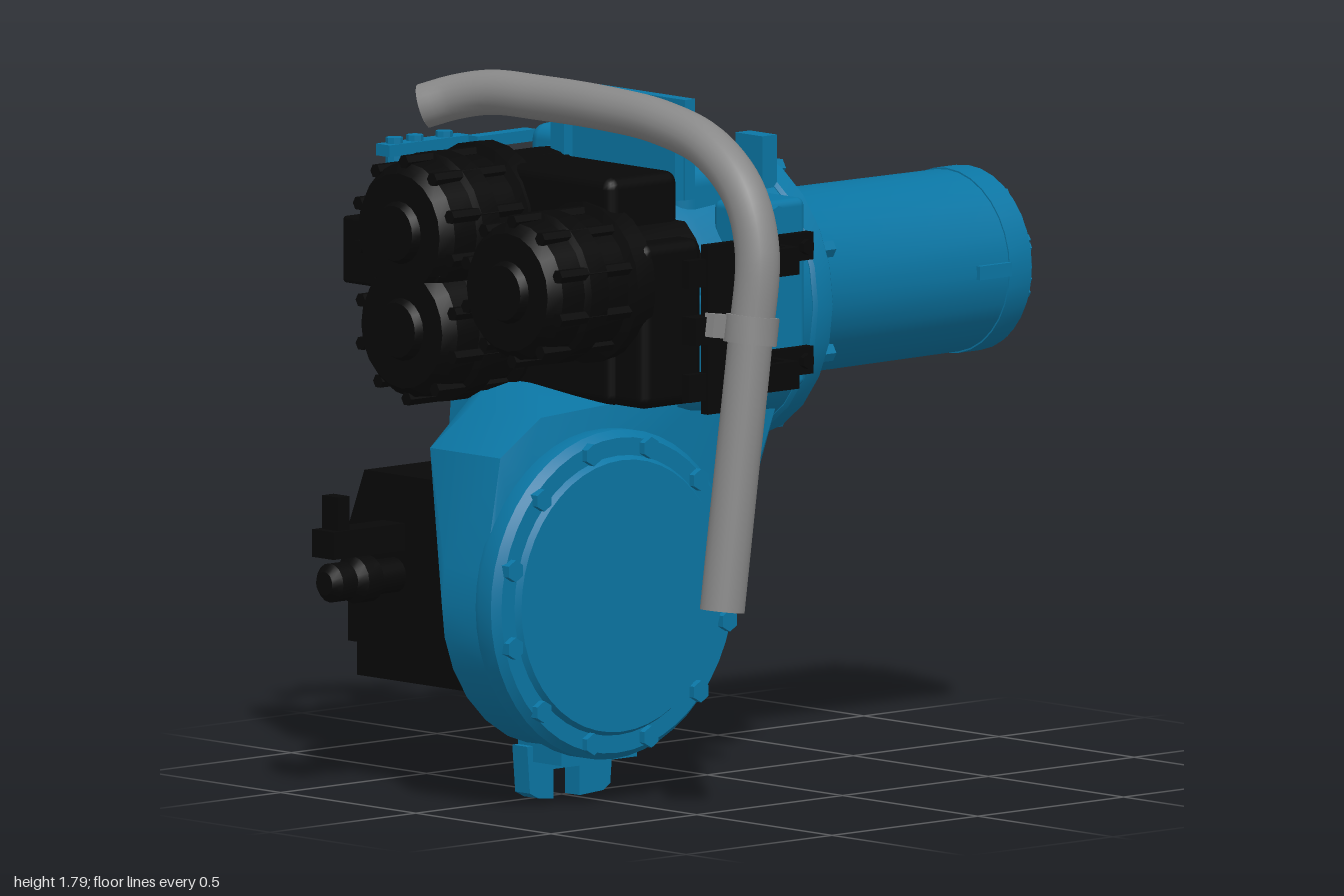
import * as THREE from 'three';
import { toCreasedNormals } from 'three/addons/utils/BufferGeometryUtils.js';
import { ConvexGeometry } from 'three/addons/geometries/ConvexGeometry.js';
import { RoundedBoxGeometry } from 'three/addons/geometries/RoundedBoxGeometry.js';

const blue = new THREE.MeshStandardMaterial({ color: 0x0b76a4 });
const black = new THREE.MeshStandardMaterial({ color: 0x080808 });
const grey = new THREE.MeshStandardMaterial({ color: 0x888888, side: THREE.DoubleSide });
const V = (x, y, z) => new THREE.Vector3(x, y, z);

export function createModel() {
  const model = new THREE.Group();
  const add = (name, geo, mat, parent = model) => {
    const mesh = new THREE.Mesh(geo, mat);
    mesh.name = name;
    parent.add(mesh);
    return mesh;
  };
  const group = (name) => {
    const g = new THREE.Group();
    g.name = name;
    model.add(g);
    return g;
  };
  // Box given by its min and max on each axis
  const box = (name, mat, [x0, x1], [y0, y1], [z0, z1], parent, round = 0) => {
    const s = [x1 - x0, y1 - y0, z1 - z0];
    const geo = round ? new RoundedBoxGeometry(...s, 2, round) : new THREE.BoxGeometry(...s);
    return add(name, geo.translate((x0 + x1) / 2, (y0 + y1) / 2, (z0 + z1) / 2), mat, parent);
  };
  // Solid of revolution: profile of [radius, position along axis], creased
  const turned = (name, mat, axis, profile, [x, y, z], parent, sides = 40) => {
    const pts = profile.map(([r, t]) => new THREE.Vector2(r, t));
    const geo = toCreasedNormals(new THREE.LatheGeometry(pts, sides), 0.6);
    if (axis === 'x') geo.rotateZ(-Math.PI / 2);
    if (axis === 'z') geo.rotateX(Math.PI / 2);
    return add(name, geo.translate(x, y, z), mat, parent);
  };
  const rod = (name, mat, axis, r, a, b, c, parent, sides = 24) =>
    turned(name, mat, axis, [[0, a], [r, a], [r, b], [0, b]], c, parent, sides);
  // Ring of hexagonal bolts around an axis
  const bolts = (name, mat, axis, n, ring, r, a, b, [x, y, z], parent) => {
    for (let i = 0; i < n; i++) {
      const t = ((i + 0.5) / n) * Math.PI * 2, u = ring * Math.cos(t), v = ring * Math.sin(t);
      rod(name, mat, axis, r, a, b, axis === 'x' ? [x, y + v, z + u] : [x + u, y + v, z], parent, 6);
    }
  };
  const hull = (name, pts, mat, parent, crease = 0.5) =>
    add(name, toCreasedNormals(new ConvexGeometry(pts), crease), mat, parent);

  // Drive motor, pointing along +x
  const M = [0, 1.215, -0.065];
  const motor = group('driveMotor');
  turned('motorCasing', blue, 'x', [[0, 0.1], [0.27, 0.1], [0.265, 0.155], [0.245, 0.175], [0.235, 0.21],
    [0.231, 0.88], [0.235, 0.88], [0.235, 0.955], [0.2, 0.955], [0.197, 0.99], [0, 0.99]], M, motor, 32);
  bolts('endCapBolt', blue, 'x', 14, 0.178, 0.014, 0.98, 1.0, M, motor);
  bolts('endRingBolt', blue, 'x', 10, 0.217, 0.014, 0.95, 0.965, M, motor);
  box('motorRib', blue, [0.77, 0.88], [1.2, 1.235], [0.14, 0.178], motor);

  // Upper gear housing with its mounting flange
  const upper = group('upperHousing');
  turned('flange', blue, 'x', [[0, 0.08], [0.37, 0.08], [0.378, 0.09], [0.378, 0.14], [0.37, 0.148], [0, 0.148]],
    M, upper, 24);
  bolts('flangeBolt', blue, 'x', 8, 0.345, 0.024, 0.14, 0.185, M, upper);
  turned('housingBarrel', blue, 'x', [[0, -0.27], [0.34, -0.27], [0.35, -0.22], [0.365, 0.0], [0.368, 0.085], [0, 0.085]],
    M, upper, 24);
  box('housingBlock', blue, [-0.25, 0.02], [0.95, 1.58], [-0.42, 0.17], upper, 0.05);
  box('frontBoss', blue, [-0.17, 0.03], [1.02, 1.5], [0.2, 0.335], upper, 0.02);
  box('sideMount', blue, [-0.28, -0.06], [1.0, 1.28], [0.18, 0.3], upper, 0.03);
  box('rearBlock', blue, [-0.2, 0.03], [1.3, 1.63], [-0.455, -0.28], upper, 0.04);
  for (const z of [-0.25, 0.11]) box('topLug', blue, [0.04, 0.09], [1.48, 1.635], [z - 0.05, z + 0.05], upper);
  for (const y of [0.91, 1.46]) rod('frontBolt', blue, 'z', 0.03, 0.15, y < 1 ? 0.24 : 0.35, [-0.08, y, 0], upper, 8);

  // Upright plate above the housing
  box('topPlate', blue, [-0.235, -0.2], [1.5, 1.755], [-0.295, 0.17]);
  for (const z of [-0.27, 0.14]) box('topPlateEar', blue, [-0.265, -0.2], [1.5, 1.68], [z - 0.025, z + 0.025]);

  // Lower gear housing, a hull swept up to the flange
  const pts = [];
  const ring = (x, y, z, r) => {
    for (let i = 0; i < 28; i++) {
      const t = (i / 28) * Math.PI * 2;
      pts.push(V(x + r * Math.cos(t), y + r * Math.sin(t), z));
    }
  };
  ring(-0.52, 0.53, 0.16, 0.4);
  ring(-0.53, 0.53, 0.02, 0.4);
  ring(-0.45, 0.62, -0.09, 0.31);
  ring(-0.36, 0.75, -0.26, 0.26);
  ring(-0.26, 0.88, -0.37, 0.2);
  for (const x of [-0.25, 0.07])
    for (let i = 0; i <= 8; i++) {
      const t = Math.PI * (1.2 + (0.62 * i) / 8);
      pts.push(V(x, 1.215 + 0.36 * Math.sin(t), Math.min(0.18, -0.065 + 0.36 * Math.cos(t))));
    }
  // Bowed right flank: [x, y, back z, front z]
  for (const [x, y, z0, z1] of [[0.05, 0.81, -0.34, 0.1], [0.025, 0.67, -0.24, 0.1], [-0.02, 0.51, -0.13, 0.1],
    [-0.06, 0.42, -0.07, 0.1], [-0.105, 0.345, -0.02, 0.1], [-0.18, 0.25, 0, 0.1]]) pts.push(V(x, y, z0), V(x, y, z1));
  for (const z of [0.14, -0.12]) pts.push(V(-0.84, 0.9, z), V(-0.7, 0.99, z), V(-0.3, 1.0, z));
  const lower = group('lowerHousing');
  hull('housingShell', pts, blue, lower, 0.6);

  // Round front cover
  const C = [-0.515, 0.53, 0];
  turned('cover', blue, 'z', [[0, 0.14], [0.41, 0.14], [0.418, 0.16], [0.418, 0.205], [0.4, 0.225],
    [0.355, 0.225], [0.345, 0.24], [0, 0.24]], C, lower, 48);
  bolts('coverBolt', blue, 'z', 12, 0.38, 0.028, 0.2, 0.243, C, lower);

  // Notched foot
  const foot = new THREE.Shape([[-0.66, 0.14], [-0.65, 0.02], [-0.62, 0.005], [-0.57, 0], [-0.57, 0.075], [-0.48, 0.075],
    [-0.48, 0], [-0.4, 0.005], [-0.375, 0.02], [-0.365, 0.14]].map(([x, y]) => new THREE.Vector2(x, y)));
  add('foot', new THREE.ExtrudeGeometry(foot, { depth: 0.055, bevelEnabled: false }).translate(0, 0, -0.01), blue);
  box('footBoss', blue, [-0.64, -0.38], [0.1, 0.28], [-0.01, 0.15]);

  // Faceted rear bulge below the flange, leaning backwards: [y, z, min x, max x]
  const bulge = [];
  for (const [y, z, x0, x1] of [[0.47, -0.27, -0.3, -0.06], [0.47, -0.52, -0.28, -0.1], [0.75, -0.62, -0.32, 0.02],
    [0.98, -0.62, -0.3, 0.04], [0.99, -0.52, -0.3, 0.07], [0.77, -0.42, -0.32, 0.05], [0.99, -0.3, -0.3, -0.1]])
    bulge.push(V(x0, y, z), V(x1, y, z));
  hull('rearBulge', bulge, blue, model, 0.3);

  // Black control unit behind the lower housing
  const unit = group('controlUnit');
  box('unitBase', black, [-0.72, -0.28], [0.27, 0.38], [-0.52, 0], unit);
  const body = [];
  for (const [y, z] of [[0.36, -0.02], [0.36, -0.52], [0.65, -0.52], [0.8, -0.46], [0.8, -0.02]])
    body.push(V(-0.75, y, z), V(-0.24, y, z));
  hull('unitBody', body, black, unit);
  turned('unitKnob', black, 'z', [[0, -0.63], [0.08, -0.63], [0.125, -0.585], [0.125, -0.5], [0, -0.5]],
    [-0.6, 0.53, 0], unit, 8);
  turned('sideConnector', black, 'x', [[0, -0.99], [0.03, -0.99], [0.05, -0.97], [0.05, -0.92], [0.04, -0.91],
    [0.06, -0.89], [0.06, -0.84], [0.045, -0.83], [0.045, -0.7], [0, -0.7]], [0, 0.545, -0.35], unit, 16);
  box('sideLever', black, [-0.97, -0.93], [0.62, 0.765], [-0.38, -0.32], unit);
  box('leverBase', black, [-0.995, -0.74], [0.61, 0.68], [-0.39, -0.31], unit);

  // Three auxiliary motors on the left end of the upper housing: [y, z]
  const aux = group('auxiliaryMotors');
  for (const [y, z] of [[1.42, -0.31], [1.175, -0.3], [1.31, 0.09]]) {
    const c = [0, y, z];
    turned('auxMotor', black, 'x', [[0, -0.79], [0.07, -0.79], [0.08, -0.77], [0.15, -0.77], [0.175, -0.74],
      [0.18, -0.67], [0.195, -0.66], [0.195, -0.6], [0.18, -0.59], [0.18, -0.52], [0.205, -0.51], [0.205, -0.45],
      [0.17, -0.44], [0.17, -0.25], [0, -0.25]], c, aux, 20);
    bolts('auxMotorRib', black, 'x', 10, 0.178, 0.018, -0.755, -0.44, c, aux);
  }
  box('auxTerminal', black, [-0.67, -0.53], [1.25, 1.42], [-0.63, -0.44], aux, 0.01);
  box('auxCarrier', black, [-0.5, -0.26], [1.0, 1.58], [-0.4, 0.18], aux, 0.03);
  box('auxSupport', black, [-0.48, -0.27], [1.0, 1.42], [0.1, 0.28], aux, 0.03);

  // Valve panel at the back, with a round window
  const panel = new THREE.Shape([[0.49, 1.01], [0.675, 1.01], [0.675, 1.565], [0.49, 1.565]]
    .map(([u, v]) => new THREE.Vector2(u, v)));
  panel.holes.push(new THREE.Path().absarc(0.6, 1.5, 0.046, 0, Math.PI * 2, true));
  const valves = group('valvePanel');
  add('panelPlate', new THREE.ExtrudeGeometry(panel, { depth: 0.03, bevelEnabled: false, curveSegments: 16 })
    .rotateY(Math.PI / 2).translate(-0.26, 0, 0), blue, valves);
  box('valveBlock', blue, [-0.3, -0.2], [1.24, 1.38], [-0.668, -0.53], valves, 0.01);
  rod('valvePort', blue, 'x', 0.06, -0.24, -0.19, [0, 1.31, -0.6], valves);
  turned('valveBulb', blue, 'x', [[0, -0.47], [0.04, -0.46], [0.065, -0.42], [0.065, -0.36], [0.04, -0.34],
    [0.04, -0.26], [0, -0.26]], [0, 1.3, -0.59], valves);
  for (const y of [1.07, 1.16]) rod('valvePlug', blue, 'x', 0.033, -0.32, -0.2, [0, y, -0.6], valves, 6);
  box('panelTopRail', blue, [-0.52, -0.24], [1.555, 1.585], [-0.665, -0.615], valves);
  box('panelRailEnd', blue, [-0.25, -0.05], [1.555, 1.585], [-0.62, -0.58], valves);
  for (const x of [-0.48, -0.41, -0.31]) rod('railFitting', blue, 'y', 0.022, 1.53, 1.6, [x, 0, -0.64], valves, 8);
  for (const y of [1.05, 1.42]) box('panelStrut', blue, [-0.25, -0.2], [y, y + 0.04], [-0.52, -0.4], valves);

  // Grey exhaust pipe with its clamp
  const path = new THREE.CatmullRomCurve3([V(-0.515, 0.53, 0.61), V(-0.47, 0.85, 0.61), V(-0.42, 1.2, 0.61),
    V(-0.39, 1.43, 0.605), V(-0.38, 1.57, 0.545), V(-0.37, 1.67, 0.41), V(-0.36, 1.715, 0.22), V(-0.352, 1.728, 0),
    V(-0.345, 1.728, -0.25), V(-0.355, 1.725, -0.42), V(-0.385, 1.705, -0.52), V(-0.43, 1.68, -0.585)]);
  const pipe = group('exhaustPipe');
  add('pipe', new THREE.TubeGeometry(path, 80, 0.057, 20), grey, pipe);
  for (const t of [0, 1]) {
    const cap = add('pipeEnd', new THREE.CircleGeometry(0.057, 20), grey, pipe);
    cap.position.copy(path.getPointAt(t));
    cap.lookAt(cap.position.clone().add(path.getTangentAt(t)));
  }
  const clamp = rod('clampBand', grey, 'y', 0.068, -0.035, 0.035, [0, 0, 0], pipe);
  clamp.position.set(-0.415, 1.235, 0.61);
  clamp.rotation.z = -0.15;
  for (const s of [-1, 1]) {
    const ear = add('clampEar', new THREE.BoxGeometry(0.06, 0.06, 0.035), grey, pipe);
    ear.position.set(-0.405 + s * 0.08, 1.235 - s * 0.012, 0.56);
    ear.rotation.z = -0.15;
  }

  // Black bent straps holding the pipe
  const holder = group('pipeBracket');
  const strap = new THREE.Shape([[-0.56, 0.535], [-0.18, 0.535], [-0.18, 0.39], [-0.16, 0.36], [0.03, 0.36], [0.03, 0.333],
    [-0.17, 0.333], [-0.205, 0.37], [-0.205, 0.51], [-0.56, 0.51]].map(([x, z]) => new THREE.Vector2(x, -z)));
  for (const y of [1.055, 1.345]) {
    add('strap', new THREE.ExtrudeGeometry(strap, { depth: 0.07, bevelEnabled: false })
      .rotateX(-Math.PI / 2).translate(0, y, 0), black, holder);
    for (const x of [-0.11, 0]) rod('strapBolt', black, 'z', 0.02, 0.33, 0.375, [x, y + 0.035, 0], holder, 6);
  }
  box('holderPlate', black, [-0.5, -0.3], [1.02, 1.45], [0.515, 0.54], holder);
  box('holderPad', black, [-0.55, -0.3], [1.2, 1.27], [0.5, 0.55], holder);

  return model;
}
